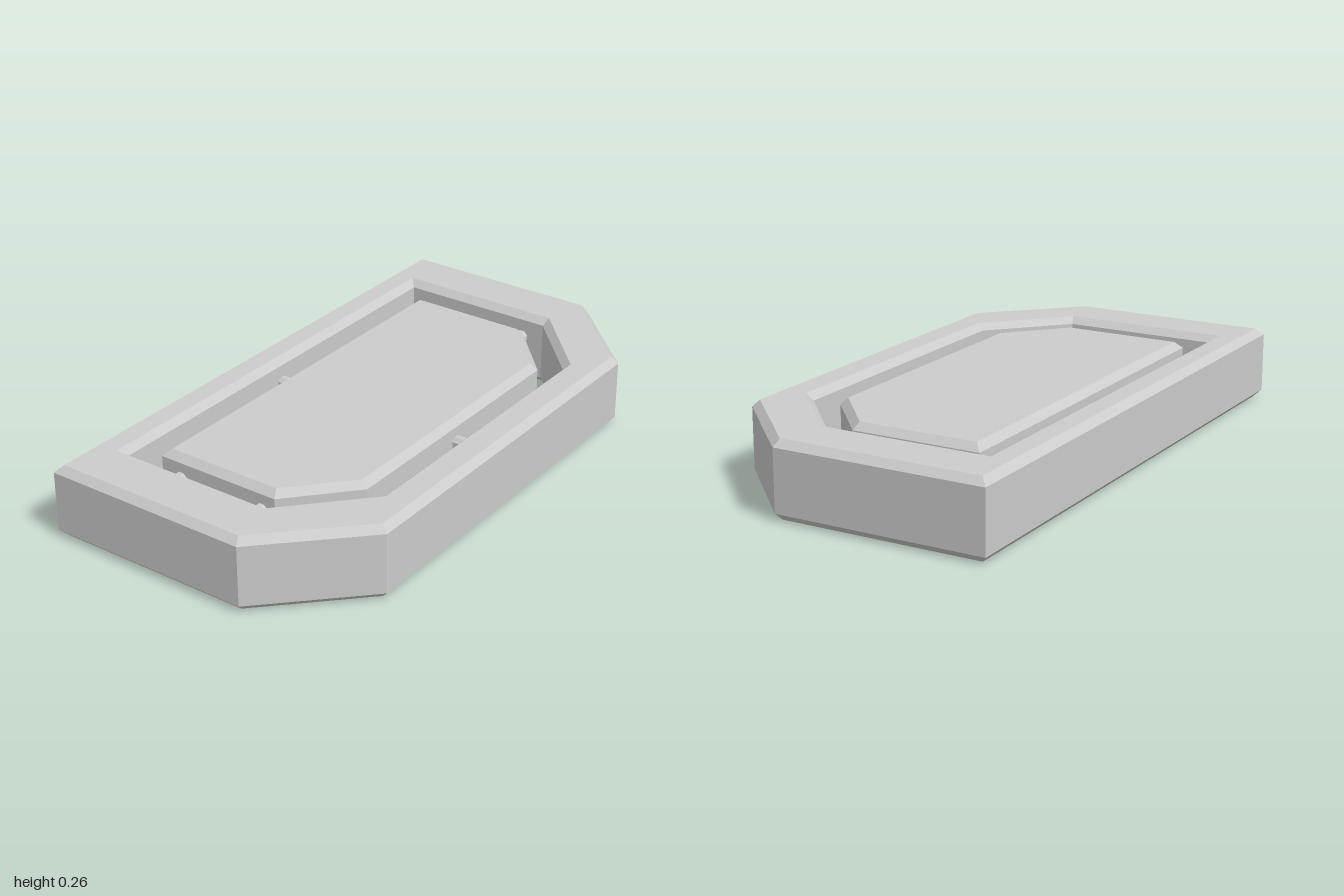
import * as THREE from 'three';

const BEVEL = 0.024;

// Outline mirrored in x: square back corners, cut front corners
function outline(halfWidth, back, cutZ, cutX, front) {
  const half = [[cutX, front], [halfWidth, cutZ], [halfWidth, back]];
  const mirrored = half.map(([x, z]) => [-x, z]).reverse();
  return [...half, ...mirrored].map(([x, z]) => new THREE.Vector2(x, -z));
}

// Horizontal plate with bevelled rims; the outline is that of its flat faces
function plate(name, shape, bottom, top, material) {
  const geometry = new THREE.ExtrudeGeometry(shape, {
    depth: top - bottom - 2 * BEVEL,
    bevelEnabled: true,
    bevelSize: BEVEL,
    bevelThickness: BEVEL,
    bevelSegments: 1,
  });
  geometry.rotateX(-Math.PI / 2);
  geometry.translate(0, bottom + BEVEL, 0);
  const mesh = new THREE.Mesh(geometry, material);
  mesh.name = name;
  return mesh;
}

export function createModel() {
  const group = new THREE.Group();
  group.name = 'framedPanel';
  const material = new THREE.MeshStandardMaterial({ color: 0xcccccc, flatShading: true });

  // Outer frame with its opening
  const frame = new THREE.Shape(outline(0.976, -0.501, 0.2, 0.675, 0.501));
  frame.holes.push(new THREE.Path(outline(0.813, -0.433, 0.166, 0.542, 0.418)));
  group.add(plate('frame', frame, 0, 0.257, material));

  // Panel hung inside the opening
  const panel = new THREE.Shape(outline(0.687, -0.31, 0.11, 0.487, 0.291));
  group.add(plate('panel', panel, 0.068, 0.247, material));

  // Rods that join panel and frame
  const rod = (name, x, z, length, alongX) => {
    const geometry = new THREE.CylinderGeometry(0.024, 0.024, length, 8);
    geometry.rotateY(Math.PI / 8);
    if (alongX) geometry.rotateZ(Math.PI / 2);
    else geometry.rotateX(Math.PI / 2);
    const mesh = new THREE.Mesh(geometry, material);
    mesh.name = name;
    mesh.position.set(x, 0.167, z);
    group.add(mesh);
  };
  for (const side of [1, -1]) {
    const label = side > 0 ? 'left' : 'right';
    rod(`${label}BackRod`, side * 0.75, -0.256, 0.12, true);
    rod(`${label}FrontRod`, side * 0.75, 0.07, 0.12, true);
  }
  rod('backRod', -0.005, -0.372, 0.12, false);
  rod('frontRod', -0.005, 0.355, 0.12, false);

  return group;
}
